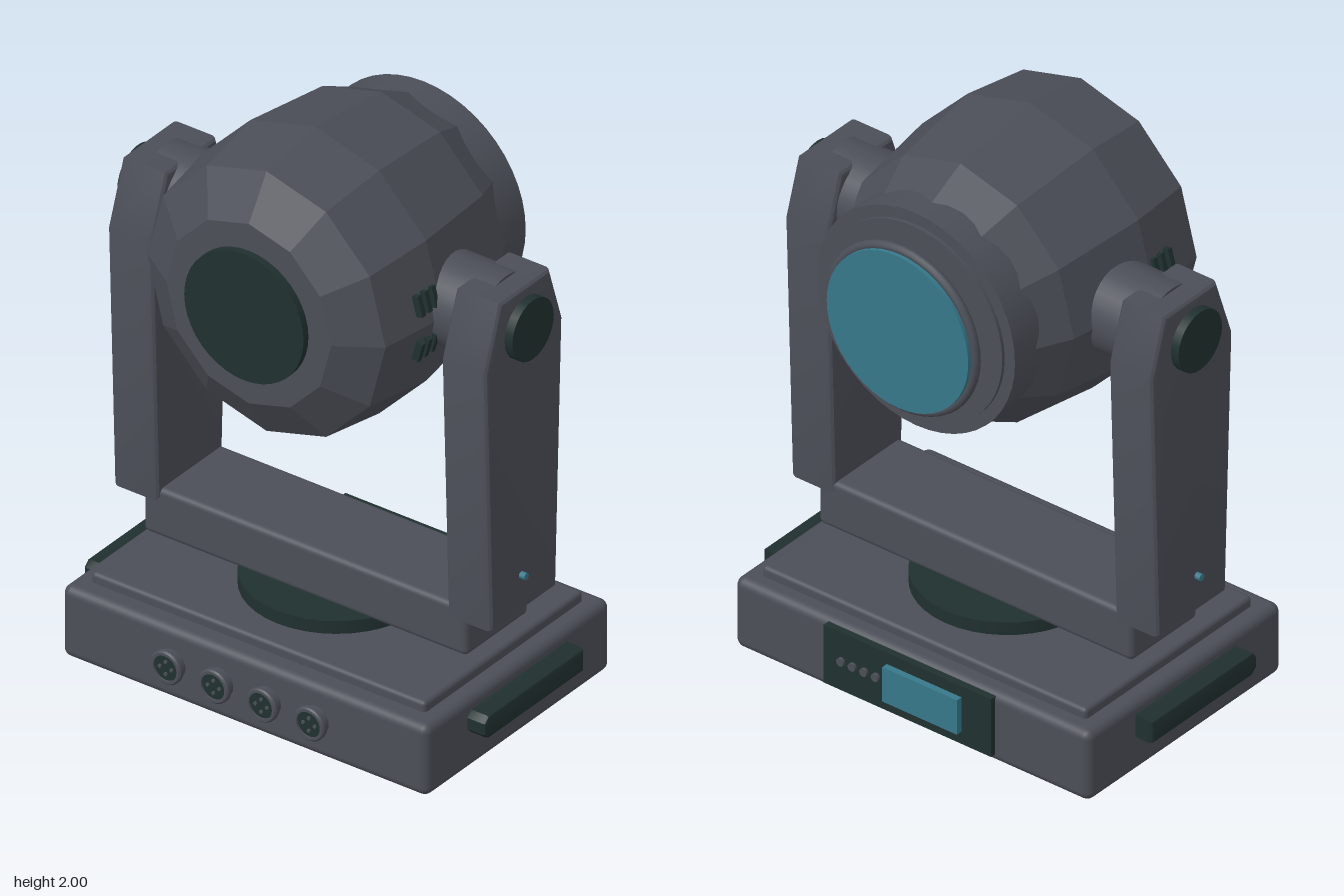
import * as THREE from 'three';
import { RoundedBoxGeometry } from 'three/addons/geometries/RoundedBoxGeometry.js';
import { toCreasedNormals } from 'three/addons/utils/BufferGeometryUtils.js';

const casing = new THREE.MeshStandardMaterial({ color: 0x4b4e57 });
casing.name = 'casing grey';
const dark = new THREE.MeshStandardMaterial({ color: 0x20302f });
dark.name = 'dark rubber';
const teal = new THREE.MeshStandardMaterial({ color: 0x37788a });
teal.name = 'teal glass';

export function createModel() {
  const model = new THREE.Group();
  model.name = 'movingHeadLight';

  function add(name, geometry, material, x = 0, y = 0, z = 0, parent = model) {
    const mesh = new THREE.Mesh(geometry, material);
    mesh.name = name;
    mesh.position.set(x, y, z);
    parent.add(mesh);
    return mesh;
  }
  // Rounded box given by its low and high corners
  function block(name, material, lo, hi, radius) {
    const s = hi.map((v, i) => v - lo[i]);
    const c = hi.map((v, i) => (v + lo[i]) / 2);
    return add(name, new RoundedBoxGeometry(s[0], s[1], s[2], 3, radius), material, ...c);
  }
  // Cylinders lying along x or z
  const rodX = (r, len, seg = 32) => new THREE.CylinderGeometry(r, r, len, seg).rotateZ(Math.PI / 2);
  const rodZ = (r, len, seg = 32) => new THREE.CylinderGeometry(r, r, len, seg).rotateX(Math.PI / 2);

  // Base
  block('base', casing, [-0.69, 0.035, -0.455], [0.69, 0.287, 0.48], 0.03);
  block('baseTopPlate', casing, [-0.63, 0.26, -0.395], [0.63, 0.322, 0.41], 0.015);
  add('panBearing', new THREE.CylinderGeometry(0.3, 0.3, 0.05, 40), dark, 0, 0.342, 0.01);
  for (const x of [-0.525, 0.525]) {
    for (const z of [-0.3, 0.335]) {
      add('foot', new THREE.CylinderGeometry(0.065, 0.06, 0.045, 16), dark, x, 0.0225, z);
    }
  }

  // Front connectors with pins
  for (const x of [-0.27, -0.09, 0.09, 0.27]) {
    const socket = new THREE.Group();
    socket.name = 'connector';
    socket.position.set(x, 0.165, 0.48);
    model.add(socket);
    const rim = [[0.05, -0.01], [0.05, 0.015], [0.058, 0.02], [0.058, 0.033], [0.053, 0.038], [0.044, 0.038], [0.044, 0.028]];
    const rimGeo = new THREE.LatheGeometry(rim.map(p => new THREE.Vector2(...p)), 24).rotateX(Math.PI / 2);
    add('connectorRim', toCreasedNormals(rimGeo, 0.6), casing, 0, 0, 0, socket);
    add('connectorFace', rodZ(0.046, 0.03, 24), dark, 0, 0, 0.016, socket);
    for (let i = 0; i < 4; i++) {
      const a = i * Math.PI / 2;
      add('pin', rodZ(0.006, 0.008, 8), casing, 0.022 * Math.cos(a), 0.022 * Math.sin(a), 0.033, socket);
    }
  }

  // Rear control panel
  add('controlPanel', new THREE.BoxGeometry(0.65, 0.21, 0.03), dark, 0, 0.17, -0.458);
  add('display', new THREE.BoxGeometry(0.29, 0.125, 0.03), teal, -0.065, 0.172, -0.48);
  for (const x of [0.12, 0.165, 0.21, 0.255]) {
    add('button', rodZ(0.014, 0.014, 12), casing, x, 0.172, -0.477);
  }

  // Yoke crossbar
  block('yokeCrossbar', casing, [-0.61, 0.357, -0.147], [0.61, 0.53, 0.172], 0.02);

  // Arm side profile as z, y
  const armShape = new THREE.Shape([
    [0.183, 0.49], [-0.15, 0.49], [-0.182, 1.44], [-0.118, 1.64], [0.138, 1.64], [0.215, 1.42],
  ].map(p => new THREE.Vector2(...p)));
  const bevel = 0.02, armWidth = 0.172;
  const armGeo = toCreasedNormals(new THREE.ExtrudeGeometry(armShape, {
    depth: armWidth - 2 * bevel, bevelEnabled: true, bevelThickness: bevel,
    bevelSize: bevel, bevelOffset: -bevel, bevelSegments: 3,
  }).translate(0, 0, bevel - armWidth / 2).rotateY(-Math.PI / 2), 0.5);

  for (const s of [-1, 1]) {
    add('yokeArm', armGeo, casing, s * 0.629, 0, 0);
    add('tiltHub', rodX(0.15, 0.24), casing, s * 0.52, 1.5, 0.01);
    add('tiltKnob', rodX(0.105, 0.05, 24), dark, s * 0.72, 1.5, 0.015);
    add('statusLight', rodX(0.012, 0.03, 12), teal, s * 0.72, 0.625, 0.035);

    // Carry handle with chamfered ends
    const grip = new THREE.Shape([
      [-0.23, -0.04], [0.255, -0.04], [0.275, -0.02], [0.275, 0.02], [0.255, 0.04], [-0.23, 0.04],
    ].map(p => new THREE.Vector2(...p)));
    const gripGeo = toCreasedNormals(new THREE.ExtrudeGeometry(grip, {
      depth: 0.06, bevelThickness: 0.012, bevelSize: 0.012, bevelOffset: -0.012, bevelSegments: 2,
    }).translate(0, 0, -0.03).rotateY(-Math.PI / 2), 0.5);
    add('handle', gripGeo, dark, s * 0.716, 0.205, 0);
  }

  // Faceted head
  const head = new THREE.Group();
  head.name = 'head';
  head.position.y = 1.5;
  model.add(head);
  const profile = [
    [0, -0.4], [0.362, -0.4], [0.455, -0.217], [0.5, 0.12], [0.463, 0.365], [0.32, 0.455], [0, 0.455],
  ].map(p => new THREE.Vector2(...p));
  const shell = new THREE.LatheGeometry(profile, 12).rotateX(Math.PI / 2).scale(0.97, 1, 1).toNonIndexed();
  shell.computeVertexNormals();
  add('headShell', shell, casing, 0, 0, 0, head);
  add('frontCap', rodZ(0.225, 0.04, 40), dark, 0, 0, 0.46, head);

  // Lens barrel and floating lens
  add('lensBarrel', rodZ(0.385, 0.13, 48), casing, 0, 0, -0.367, head);
  add('barrelStep', rodZ(0.345, 0.03, 48), casing, 0, 0, -0.429, head);
  add('lensRing', new THREE.TorusGeometry(0.281, 0.016, 12, 48), casing, 0, 0, -0.493, head);
  add('lens', rodZ(0.275, 0.034, 48), teal, 0, 0, -0.504, head);

  // Side vents, lying on the facets above and below the tilt axis
  for (const s of [-1, 1]) {
    for (const v of [-1, 1]) {
      for (const z of [0.145, 0.18, 0.215]) {
        const vent = add('vent', new THREE.BoxGeometry(0.024, 0.07, 0.018), dark, s * 0.463, v * 0.08, z, head);
        vent.rotation.z = s * v * 0.26;
      }
    }
  }
  return model;
}
